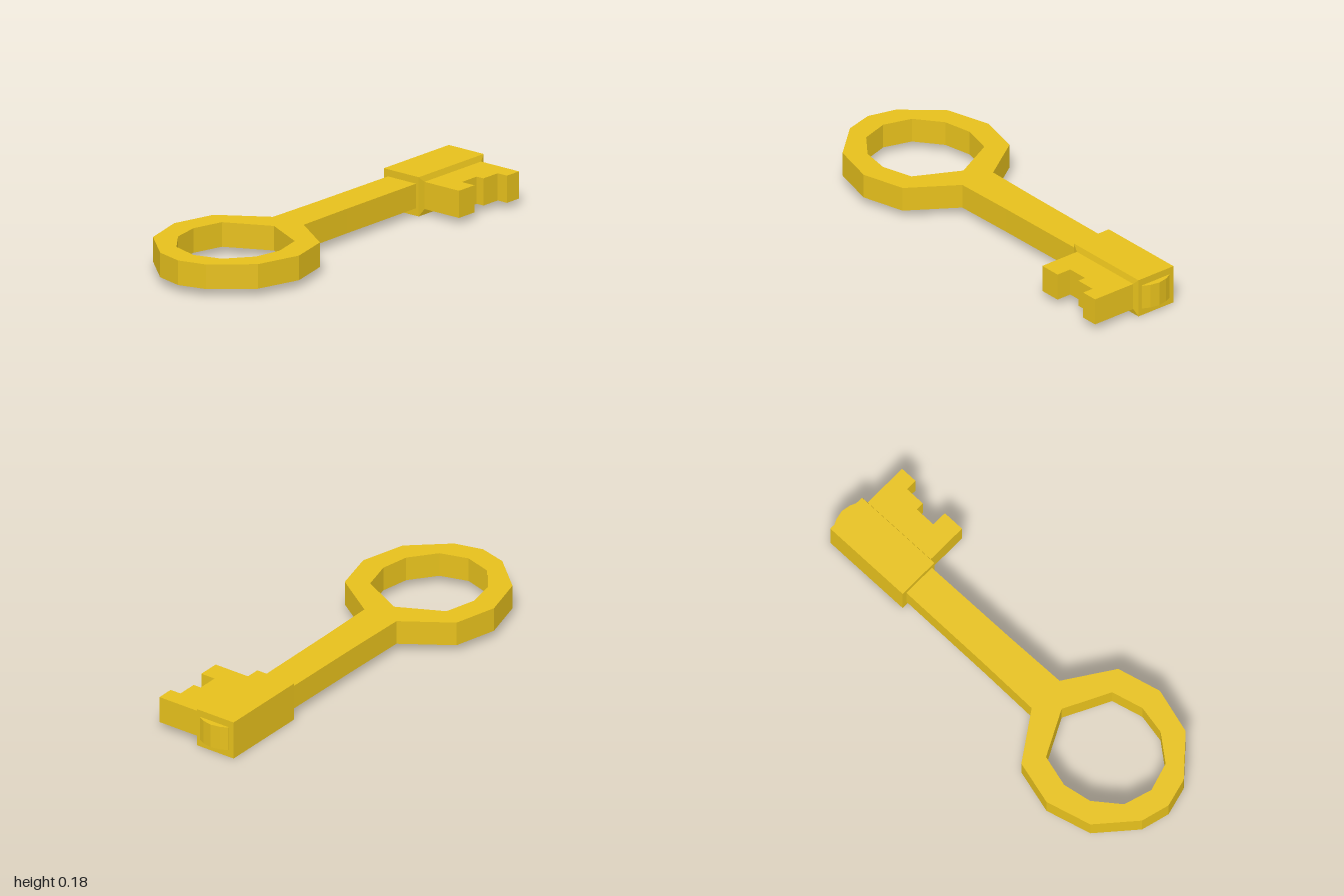
import * as THREE from 'three';

const material = new THREE.MeshStandardMaterial({ color: 0xe6c01c, flatShading: true });

// Extrudes an outline drawn in (x, z) from y0 up to y1
function slab(name, points, holePoints, y0, y1) {
  const toVec = ([x, z]) => new THREE.Vector2(x, z);
  const shape = new THREE.Shape(points.map(toVec));
  if (holePoints) shape.holes.push(new THREE.Path(holePoints.map(toVec)));
  const geometry = new THREE.ExtrudeGeometry(shape, { depth: y1 - y0, bevelEnabled: false });
  geometry.rotateX(Math.PI / 2).translate(0, y1, 0);
  const mesh = new THREE.Mesh(geometry, material);
  mesh.name = name;
  return mesh;
}

// Closes a half outline, whose first and last points lie on z = 0, counter-clockwise
const mirrored = (half) => [
  ...half.map(([x, z]) => [x, -z]),
  ...half.slice(1, -1).reverse(),
];

export function createModel() {
  const key = new THREE.Group();
  key.name = 'key';

  // Faceted ring handle running into the tapered shaft with its blunt, rounded tip
  const outline = mirrored([
    [-1, 0], [-0.965, 0.133], [-0.813, 0.304], [-0.6, 0.362], [-0.395, 0.309],
    [-0.247, 0.089], [0.05, 0.084], [0.975, 0.079], [0.991, 0.045], [1, 0],
  ]);
  const opening = mirrored([
    [-0.895, 0], [-0.855, 0.132], [-0.735, 0.225], [-0.6, 0.25], [-0.452, 0.211], [-0.345, 0],
  ]);
  key.add(slab('handleAndShaft', outline, opening, 0.035, 0.149));

  // Block around the end of the shaft, its +z side slanting in towards the bit
  const block = new THREE.BoxGeometry(0.443, 0.182, 0.21, 1, 1, 2);
  block.translate(0.7495, 0.091, 0);
  const p = block.attributes.position;
  for (let i = 0; i < p.count; i++) {
    if (Math.abs(p.getZ(i)) < 0.01) p.setZ(i, 0.097);
    else if (p.getZ(i) > 0) {
      p.setX(i, p.getX(i) > 0.75 ? 0.944 : 0.558);
      p.setY(i, p.getY(i) > 0.09 ? 0.155 : 0.029);
    }
  }
  block.computeVertexNormals();
  const collar = new THREE.Mesh(block, material);
  collar.name = 'collar';
  key.add(collar);

  // Notched bit
  key.add(slab('bit', [
    [0.558, 0.09], [0.944, 0.09], [0.944, 0.325], [0.862, 0.325], [0.862, 0.271],
    [0.765, 0.271], [0.765, 0.232], [0.663, 0.232], [0.663, 0.305], [0.558, 0.305],
  ], null, 0.029, 0.155));

  return key;
}
